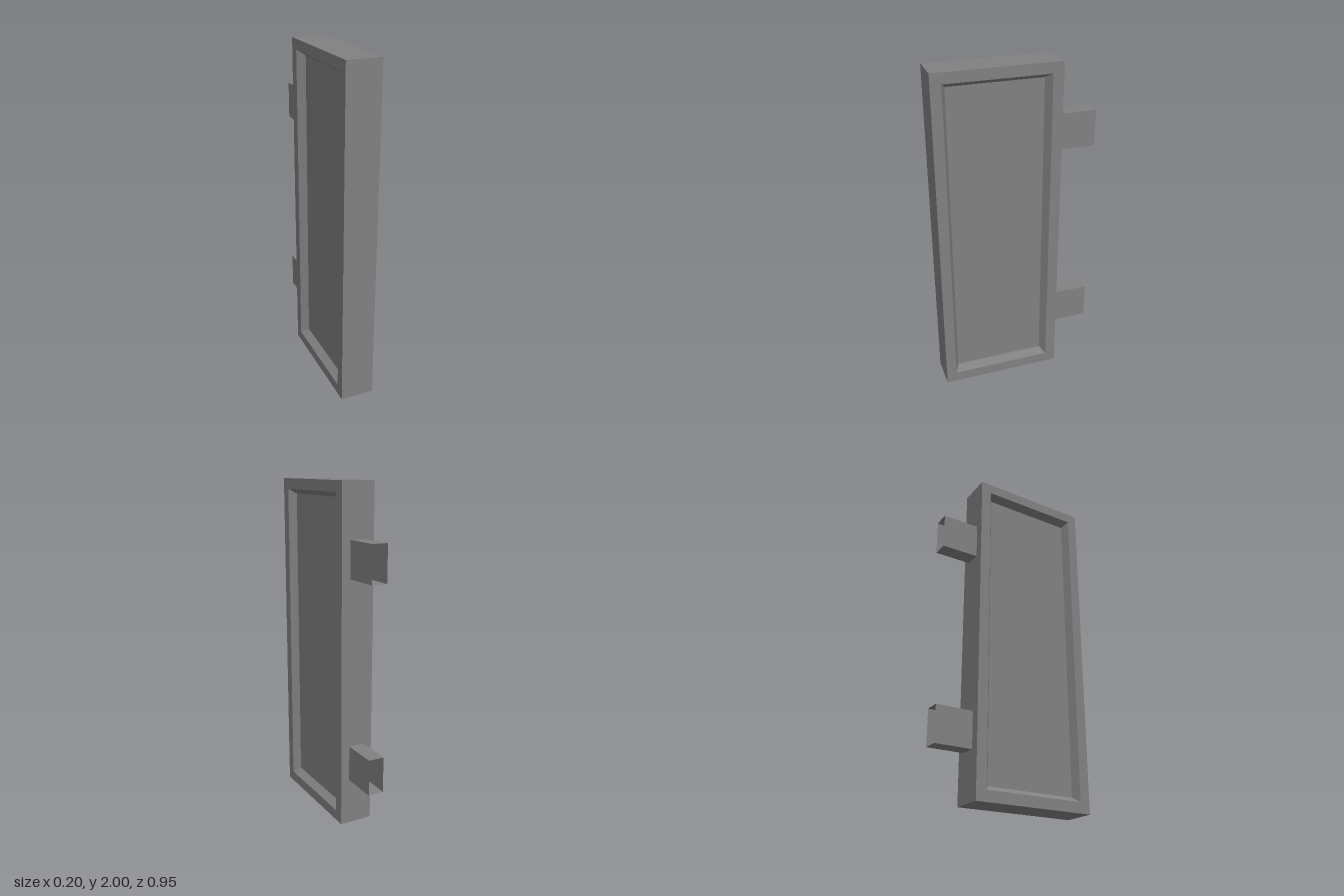
import * as THREE from 'three';

// Joins four-cornered rings into flat-faced quads, optionally closing both ends
function loft(rings, capped) {
  const pos = [];
  const quad = (a, b, c, d) => [a, b, c, a, c, d].forEach(p => pos.push(...p));
  for (let i = 0; i < rings.length - 1; i++) {
    const r = rings[i], s = rings[i + 1];
    for (let k = 0; k < 4; k++) {
      const n = (k + 1) % 4;
      quad(r[k], s[k], s[n], r[n]);
    }
  }
  if (capped) {
    quad(...rings[0]);
    quad(...[...rings[rings.length - 1]].reverse());
  }
  const geo = new THREE.BufferGeometry();
  geo.setAttribute('position', new THREE.Float32BufferAttribute(pos, 3));
  geo.computeVertexNormals();
  return geo;
}

// Rectangle in the side plane, counter-clockwise seen from +x
const sideRing = (x, z0, z1, y0, y1) => [[x, y0, z1], [x, y0, z0], [x, y1, z0], [x, y1, z1]];
// Rectangle facing the back, counter-clockwise seen from -z
const backRing = (z, w, y0, y1) => [[w, y0, z], [-w, y0, z], [-w, y1, z], [w, y1, z]];

export function createModel() {
  const model = new THREE.Group();
  model.name = 'panelWithBrackets';
  const grey = new THREE.MeshStandardMaterial({ color: 0x808080, side: THREE.DoubleSide });
  grey.name = 'grey';

  const add = (name, geo) => {
    const mesh = new THREE.Mesh(geo, grey);
    mesh.name = name;
    model.add(mesh);
  };

  // Panel: recessed floor, bevelled opening and outer edge, mirrored on both sides
  const half = [
    [0.055, -0.16, 0.39, 0.093, 1.91],
    [0.1, -0.19, 0.415, 0.063, 1.938],
    [0.1, -0.253, 0.476, 0, 2],
  ];
  const rings = [
    ...half.map(r => sideRing(...r)),
    ...[...half].reverse().map(([x, ...rest]) => sideRing(-x, ...rest)),
  ];
  add('panel', loft(rings, true));

  // Hinge brackets: thin square sleeves, open at the back
  [['lowerBracket', 0.28, 0.493], ['upperBracket', 1.477, 1.69]].forEach(([name, y0, y1]) => {
    add(name, loft([backRing(-0.476, 0.047, y0, y1), backRing(-0.253, 0.047, y0, y1)], false));
  });

  return model;
}
